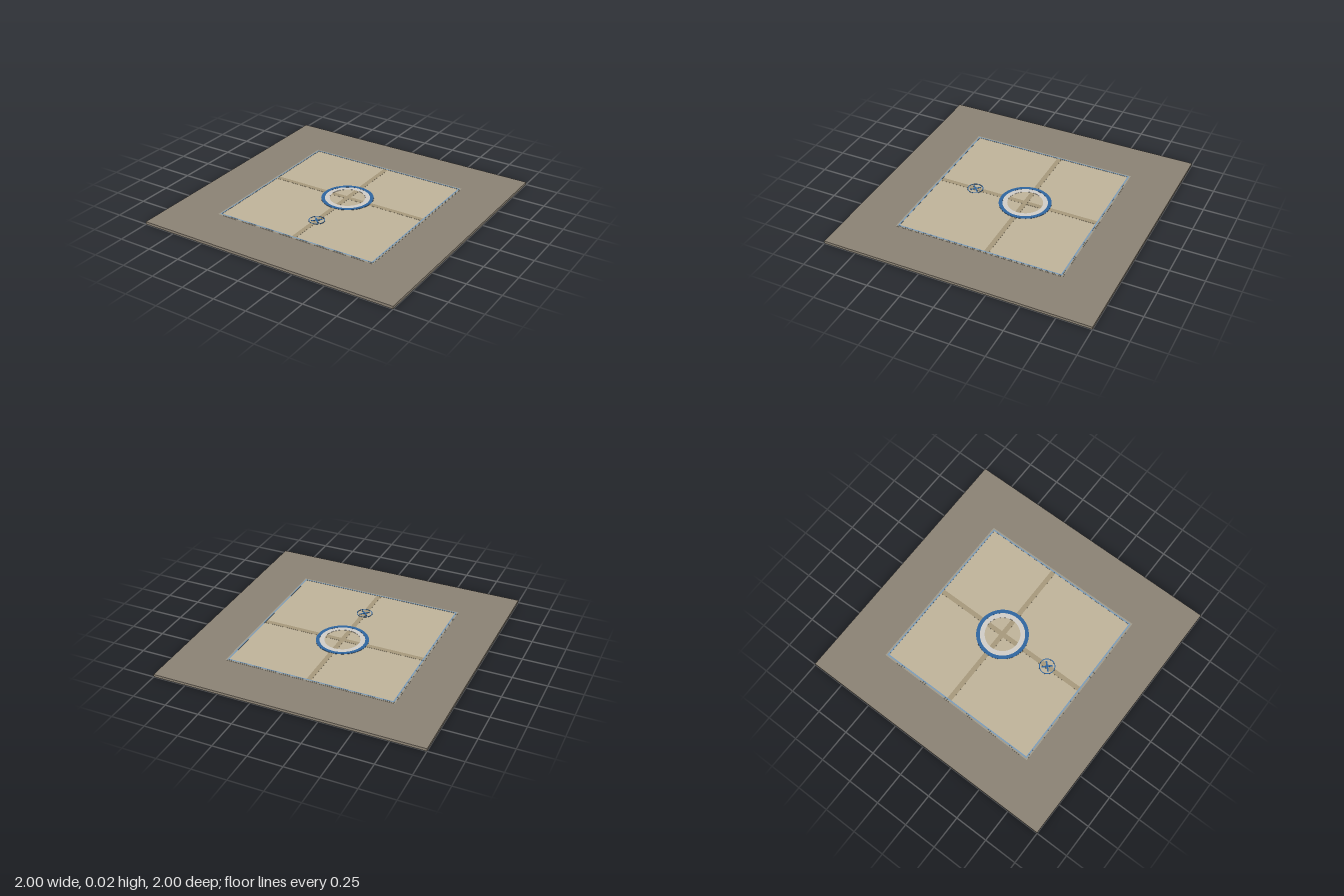
import * as THREE from 'three';

const CENTRE_Z = -0.065; // middle of the cross and the large ring
const MARK_Z = 0.34;     // middle of the small marker
const TOP = 0.02;        // top of the surrounding slab

const material = (color) => new THREE.MeshStandardMaterial({ color });
const stone = material(0x8b8274);
const trim = material(0x9f9a8b);
const sand = material(0xbfb39a);
const seam = material(0xa7997c);
const blue = material(0x2f659f);
const paleBlue = material(0x7b9cba);
const white = material(0xd0cdc8);

export function createModel() {
  const model = new THREE.Group();

  const add = (name, geometry, mat, x = 0, y = 0, z = 0) => {
    const mesh = new THREE.Mesh(geometry, mat);
    mesh.name = name;
    mesh.position.set(x, y, z);
    model.add(mesh);
    return mesh;
  };

  // Flat extrusion of a shape, lying between y0 and y1
  const flat = (name, shape, mat, y0, y1, z = 0) => {
    const geometry = new THREE.ExtrudeGeometry(shape, {
      depth: y1 - y0, bevelEnabled: false, curveSegments: 48,
    });
    geometry.rotateX(-Math.PI / 2);
    return add(name, geometry, mat, 0, y0, z);
  };

  const square = (path, h) => {
    path.moveTo(-h, -h).lineTo(h, -h).lineTo(h, h).lineTo(-h, h).closePath();
    return path;
  };
  const squareFrame = (outer, inner) => {
    const shape = square(new THREE.Shape(), outer);
    shape.holes.push(square(new THREE.Path(), inner));
    return shape;
  };
  const ring = (outer, inner) => {
    const shape = new THREE.Shape().absarc(0, 0, outer, 0, Math.PI * 2);
    shape.holes.push(new THREE.Path().absarc(0, 0, inner, 0, Math.PI * 2));
    return shape;
  };

  // Surrounding slab and the trim around its opening
  flat('slab', squareFrame(1, 0.64), stone, 0, TOP);
  flat('openingTrim', squareFrame(0.64, 0.625), trim, 0.001, TOP + 0.001);
  flat('borderLine', squareFrame(0.63, 0.62), paleBlue, TOP, TOP + 0.0016);

  // Inner floor with two crossing seams
  add('floor', new THREE.BoxGeometry(1.25, 0.019, 1.25), sand, 0, 0.0105, 0);
  add('seamAcross', new THREE.BoxGeometry(1.25, 0.0206, 0.036), seam, 0, 0.0106, CENTRE_Z);
  add('seamAlong', new THREE.BoxGeometry(0.036, 0.0204, 1.25), seam, 0, 0.0106, 0);

  // Large double ring
  flat('centreRingOuter', ring(0.192, 0.165), blue, TOP, TOP + 0.002, CENTRE_Z);
  flat('centreRingInner', ring(0.165, 0.13), white, TOP, TOP + 0.0016, CENTRE_Z);

  // Small marker: thin ring with a diagonal cross
  flat('markerRing', ring(0.059, 0.053), blue, TOP, TOP + 0.002, MARK_Z);
  for (const side of [-1, 1]) {
    const bar = add('markerCrossBar', new THREE.BoxGeometry(0.08, 0.0015, 0.012), blue,
      0, TOP + 0.0012 + side * 0.0001, MARK_Z);
    bar.rotation.y = side * Math.PI / 4;
  }

  return model;
}
